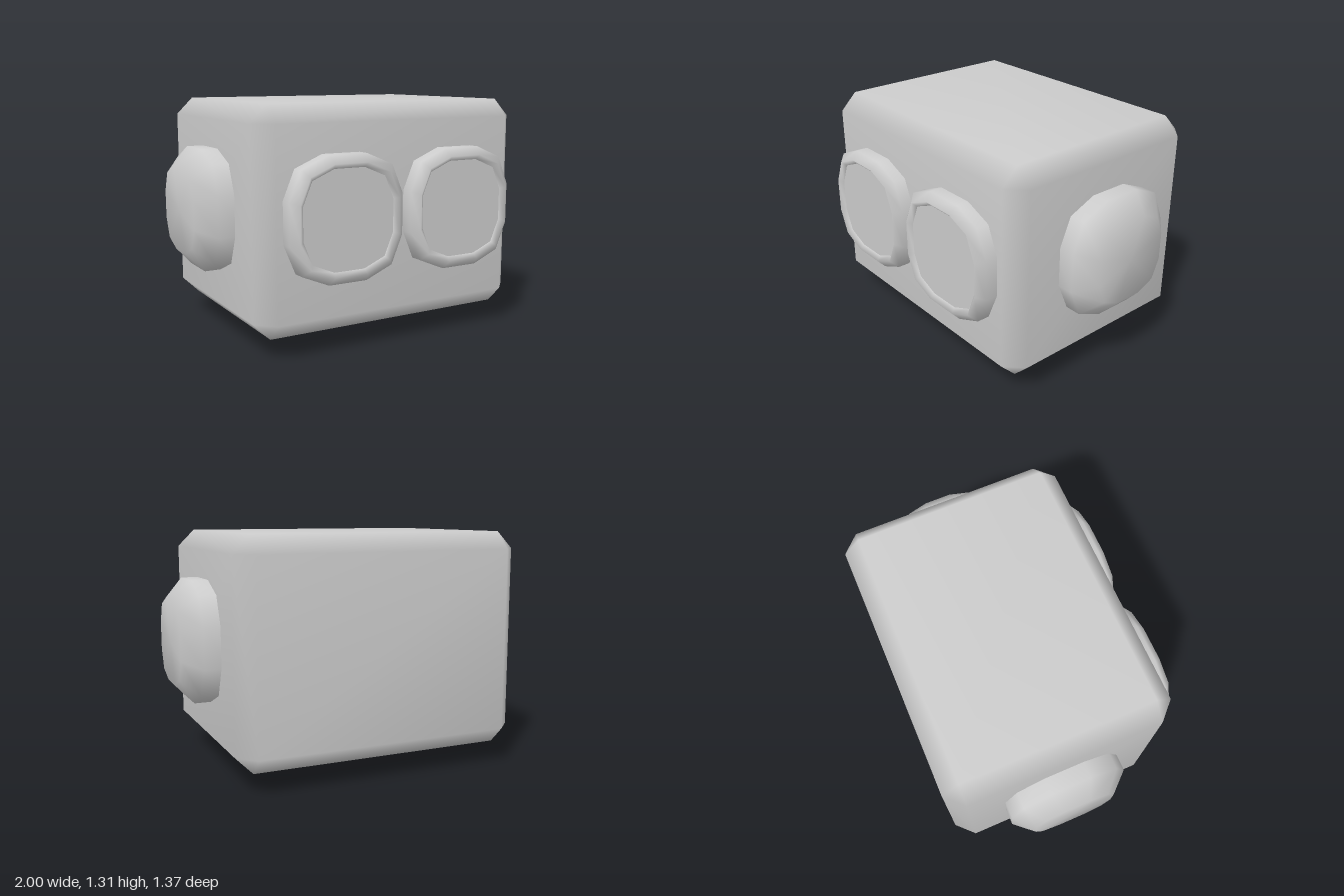
import * as THREE from 'three';
import { mergeVertices } from 'three/addons/utils/BufferGeometryUtils.js';
import { ConvexGeometry } from 'three/addons/geometries/ConvexGeometry.js';

// Convex solid with normals averaged over its corners
function smoothHull(points) {
  const g = new ConvexGeometry(points);
  g.deleteAttribute('normal');
  const merged = mergeVertices(g, 1e-4);
  merged.computeVertexNormals();
  return merged;
}

// Box with one flat bevel along every edge
function bevelBox(w, h, d, c) {
  const pts = [];
  for (const sx of [-1, 1]) for (const sy of [-1, 1]) for (const sz of [-1, 1]) {
    for (let axis = 0; axis < 3; axis++) {
      const inset = [c, c, c];
      inset[axis] = 0;
      pts.push(new THREE.Vector3(
        sx * (w / 2 - inset[0]), sy * (h / 2 - inset[1]), sz * (d / 2 - inset[2])));
    }
  }
  return smoothHull(pts);
}

// Twelve-sided rounded square, counter-clockwise
const outline = [];
for (let i = 0; i < 4; i++) {
  for (const [x, y] of [[0.33, 0.11], [0.265, 0.265], [0.11, 0.33]]) {
    outline.push(new THREE.Vector2(x, y).rotateAround(new THREE.Vector2(), i * Math.PI / 2));
  }
}

// Loft of the outline along +z from [scale, z] rings, optionally capped
function loft(rings, cap) {
  const n = outline.length, pos = [], index = [];
  for (const [s, z] of rings) for (const p of outline) pos.push(p.x * s, p.y * s, z);
  for (let r = 0; r < rings.length - 1; r++) {
    for (let i = 0; i < n; i++) {
      const a = r * n + i, b = r * n + (i + 1) % n;
      index.push(a, b, b + n, a, b + n, a + n);
    }
  }
  if (cap) {
    const last = (rings.length - 1) * n;
    pos.push(0, 0, rings[rings.length - 1][1]);
    for (let i = 0; i < n; i++) index.push(last + i, last + (i + 1) % n, last + n);
  }
  const g = new THREE.BufferGeometry();
  g.setAttribute('position', new THREE.Float32BufferAttribute(pos, 3));
  g.setIndex(index);
  g.computeVertexNormals();
  return g;
}

export function createModel() {
  const group = new THREE.Group();
  const grey = new THREE.MeshStandardMaterial({ color: 0xcccccc });
  grey.name = 'light grey';

  const add = (name, geometry, x, y, z) => {
    const mesh = new THREE.Mesh(geometry, grey);
    mesh.name = name;
    mesh.position.set(x, y, z);
    group.add(mesh);
    return mesh;
  };

  // Head block
  add('head', bevelBox(1.63, 1.2, 1.26, 0.095), 0, 0.71, -0.055);

  // Eye rims with recessed lenses, and the side knobs
  const rim = loft([[1, -0.03], [1, 0.07], [0.87, 0.11], [0.795, 0.085]], false);
  const lens = new THREE.ShapeGeometry(
    new THREE.Shape(outline.map(p => p.clone().multiplyScalar(0.795))));
  const knob = loft([[1, -0.05], [1, 0.09], [0.69, 0.185]], true);
  for (const [side, s] of [['left', 1], ['right', -1]]) {
    add(side + 'EyeRim', rim, s * 0.356, 0.73, 0.575);
    add(side + 'EyeLens', lens, s * 0.356, 0.73, 0.66);
    add(side + 'Ear', knob, s * 0.815, 0.73, -0.057).rotation.y = s * Math.PI / 2;
  }

  // Pointed neck stub underneath
  const neck = [new THREE.Vector3(0, 0, 0)];
  for (const s of [-1, 1]) {
    neck.push(new THREE.Vector3(s * 0.2, 0.055, 0), new THREE.Vector3(s * 0.27, 0.125, 0));
    for (const t of [-1, 1]) neck.push(new THREE.Vector3(s * 0.14, 0.125, t * 0.295));
  }
  add('neck', smoothHull(neck), 0, 0, -0.055);

  return group;
}
